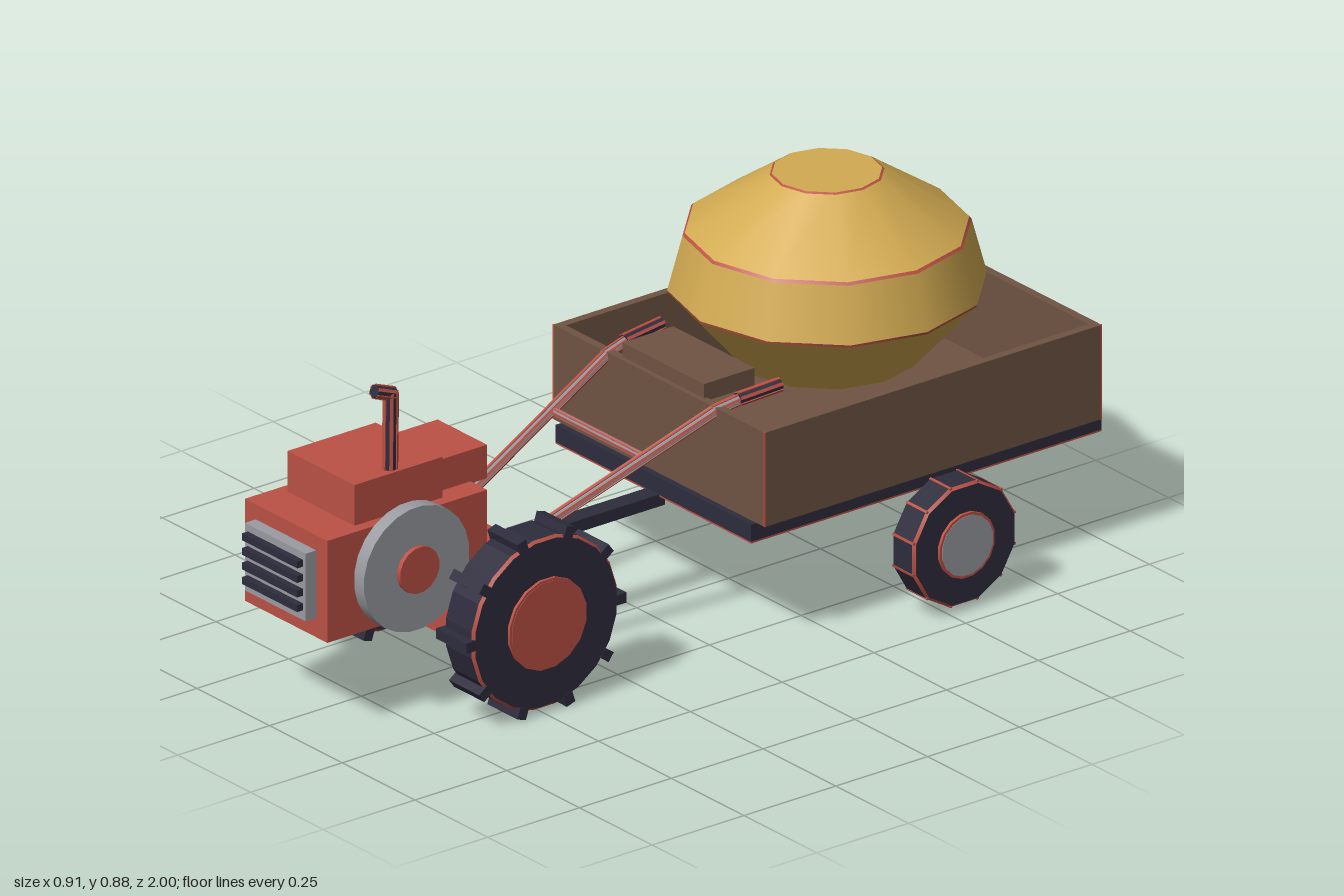
import * as THREE from 'three';

const mat = (name, color) => {
  const m = new THREE.MeshStandardMaterial({ color });
  m.name = name;
  return m;
};

export function createModel() {
  const red = mat('red paint', 0xbc5145);
  red.side = THREE.DoubleSide;
  const dark = mat('dark rubber', 0x2e2c3d);
  dark.flatShading = true;
  const grey = mat('grey metal', 0x9a9ca2);
  const brown = mat('brown wood', 0x6f5443);
  const yellow = mat('yellow sack', 0xd3ab52);

  const model = new THREE.Group();
  model.name = 'tractorAndTrailer';

  const add = (parent, name, geo, material) => {
    const mesh = new THREE.Mesh(geo, material);
    mesh.name = name;
    parent.add(mesh);
    return mesh;
  };
  // Box given by its ranges along x, y and z
  const box = (parent, name, material, x0, x1, y0, y1, z0, z1) => {
    const mesh = add(parent, name, new THREE.BoxGeometry(x1 - x0, y1 - y0, z1 - z0), material);
    mesh.position.set((x0 + x1) / 2, (y0 + y1) / 2, (z0 + z1) / 2);
    return mesh;
  };
  // Housing: a box without its bottom face
  const housing = (...args) => {
    const { geometry } = box(...args);
    const faces = [...geometry.index.array];
    faces.splice(18, 6);
    geometry.setIndex(faces);
    geometry.clearGroups();
  };
  // Six-sided bar between two points, with thin red lines along its edges
  const bar = (parent, name, material, a, b, r) => {
    const p = new THREE.Vector3(...a), q = new THREE.Vector3(...b);
    const len = p.distanceTo(q);
    const g = new THREE.Group();
    g.name = name;
    g.position.copy(p).lerp(q, 0.5);
    g.quaternion.setFromUnitVectors(new THREE.Vector3(0, 1, 0), q.sub(p).normalize());
    add(g, 'barCore', new THREE.CylinderGeometry(r, r, len, 6), material);
    for (let i = 0; i < 6; i++) {
      const edge = new THREE.BoxGeometry(r * 0.45, len, r * 0.2);
      edge.translate(0, 0, r * 0.92).rotateY((i * Math.PI) / 3);
      add(g, 'barEdge', edge, red);
    }
    parent.add(g);
  };
  // Disc with its axis along x
  const disc = (parent, name, material, r, width, sides, x = 0, rim = r) => {
    const geo = new THREE.CylinderGeometry(rim, r, width, sides).rotateZ(-Math.PI / 2);
    geo.rotateX(Math.PI / sides);
    const mesh = add(parent, name, geo, material);
    mesh.position.x = x;
  };

  // Tyre with thin red edges and a slightly raised hub on both faces
  const wheel = (name, r, width, sides, hubR, hubMat) => {
    const g = new THREE.Group();
    g.name = name;
    disc(g, 'tyre', dark, r, width - 0.012, sides);
    for (const s of [-1, 1]) {
      const h = width / 2;
      disc(g, 'tyreEdge', red, s > 0 ? r : r - 0.006, 0.006, sides, s * (h - 0.003), s > 0 ? r - 0.006 : r);
      disc(g, 'tyreSide', dark, r - 0.006, 0.002, sides, s * h);
      disc(g, 'hubRing', red, hubR, 0.014, 16, s * (h + 0.001));
      disc(g, 'hub', hubMat, hubR - 0.006, 0.016, 16, s * (h + 0.001));
    }
    return g;
  };

  // ---- Tractor: housings are open underneath ----
  const tractor = new THREE.Group();
  tractor.name = 'tractor';
  model.add(tractor);
  housing(tractor, 'engine', red, -0.142, 0.142, 0.232, 0.47, 0.52, 0.955);
  housing(tractor, 'gearbox', red, -0.12, 0.12, 0.135, 0.305, 0.4, 0.6);
  box(tractor, 'hood', red, -0.115, 0.115, 0.47, 0.565, 0.62, 0.86);
  box(tractor, 'rearTank', red, -0.085, 0.085, 0.465, 0.543, 0.475, 0.62);

  // Grille with dark slats
  box(tractor, 'grillePanel', grey, -0.104, 0.104, 0.277, 0.435, 0.955, 0.984);
  for (let i = 0; i < 4; i++) {
    const y = 0.308 + i * 0.034;
    box(tractor, 'grilleSlat', dark, -0.095, 0.095, y - 0.008, y + 0.008, 0.98, 1);
  }

  // Flywheel on the left flank
  const flywheel = new THREE.Group();
  flywheel.name = 'flywheel';
  flywheel.position.set(0.163, 0.36, 0.742);
  disc(flywheel, 'flywheelDisc', grey, 0.144, 0.034, 24);
  disc(flywheel, 'flywheelHub', red, 0.054, 0.052, 16, 0.002);
  tractor.add(flywheel);

  // Exhaust with a bent tip
  bar(tractor, 'exhaustPipe', dark, [0.092, 0.56, 0.745], [0.095, 0.745, 0.745], 0.017);
  bar(tractor, 'exhaustTip', dark, [0.095, 0.738, 0.738], [0.095, 0.758, 0.79], 0.016);

  // Axle and lugged drive wheels
  bar(tractor, 'axle', grey, [-0.22, 0.215, 0.5], [0.22, 0.215, 0.5], 0.02);
  for (const s of [-1, 1]) {
    const w = wheel(s > 0 ? 'leftDriveWheel' : 'rightDriveWheel', 0.2, 0.1, 20, 0.106, red);
    w.position.set(s * 0.265, 0.213, 0.497);
    for (let i = 0; i < 10; i++) {
      const pivot = new THREE.Group();
      pivot.name = 'lugPivot';
      pivot.rotation.x = (i * Math.PI) / 5;
      box(pivot, 'lug', dark, -0.052, 0.052, -0.012, 0.012, 0.19, 0.218);
      w.add(pivot);
    }
    tractor.add(w);
  }

  // Steering handles with grips
  for (const s of [-1, 1]) {
    bar(tractor, 'handleBar', grey, [s * 0.108, 0.3, 0.43], [s * 0.188, 0.512, -0.07], 0.013);
    bar(tractor, 'handleEnd', grey, [s * 0.187, 0.51, -0.06], [s * 0.198, 0.526, -0.14], 0.013);
    bar(tractor, 'grip', dark, [s * 0.196, 0.524, -0.12], [s * 0.204, 0.532, -0.228], 0.016);
  }
  bar(tractor, 'handleCrossBar', grey, [-0.16, 0.437, 0.105], [0.16, 0.437, 0.105], 0.009);

  // ---- Trailer ----
  const trailer = new THREE.Group();
  trailer.name = 'trailer';
  model.add(trailer);
  box(trailer, 'towBar', dark, -0.022, 0.022, 0.234, 0.262, -0.06, 0.41);
  box(trailer, 'chassis', dark, -0.336, 0.336, 0.26, 0.3, -1, -0.045);
  box(trailer, 'chassisEdge', red, -0.336, 0.336, 0.256, 0.26, -1, -0.045);
  box(trailer, 'chassisUnderside', dark, -0.331, 0.331, 0.254, 0.258, -0.995, -0.05);
  box(trailer, 'floor', brown, -0.36, 0.36, 0.299, 0.315, -0.97, -0.065);
  box(trailer, 'frontWall', brown, -0.364, 0.364, 0.3, 0.52, -0.08, -0.06);
  box(trailer, 'backWall', brown, -0.364, 0.364, 0.3, 0.52, -0.978, -0.958);
  for (const s of [-1, 1]) {
    const x = s * 0.354;
    box(trailer, 'sideWall', brown, x - 0.01, x + 0.01, 0.3, 0.52, -0.959, -0.079);
    // Thin red corner lines
    for (const z of [-0.0615, -0.9765]) {
      const c = s * 0.3625;
      box(trailer, 'cornerLine', red, c - 0.002, c + 0.002, 0.3, 0.521, z - 0.002, z + 0.002);
    }

    const w = wheel(s > 0 ? 'leftTrailerWheel' : 'rightTrailerWheel', 0.144, 0.076, 12, 0.076, grey);
    w.position.set(s * 0.409, 0.157, -0.54);
    // Thin red lines across the tread corners
    for (let i = 0; i < 12; i++) {
      const pivot = new THREE.Group();
      pivot.name = 'treadLinePivot';
      pivot.rotation.x = ((i + 0.5) * Math.PI) / 6;
      box(pivot, 'treadLine', red, -0.036, 0.036, -0.003, 0.003, 0.139, 0.1445);
      w.add(pivot);
    }
    trailer.add(w);
  }
  box(trailer, 'seat', brown, -0.14, 0.14, 0.512, 0.553, -0.21, -0.072);

  // ---- Load: round sack, one smooth band per slope, red seams between ----
  const sack = new THREE.Group();
  sack.name = 'sack';
  sack.position.z = -0.518;
  model.add(sack);
  const profile = [[0.2, 0.457], [0.343, 0.617], [0.345, 0.623], [0.312, 0.748], [0.307, 0.754], [0.124, 0.878], [0.119, 0.881]];
  for (let i = 0; i < profile.length - 1; i++) {
    const [r0, y0] = profile[i], [r1, y1] = profile[i + 1];
    const seam = i % 2 === 1;
    const band = add(sack, seam ? 'sackSeam' : 'sackBand',
      new THREE.CylinderGeometry(r1, r0, y1 - y0, 12, 1, true), seam ? red : yellow);
    band.position.y = (y0 + y1) / 2;
  }
  const top = add(sack, 'sackTop', new THREE.CircleGeometry(0.119, 12).rotateX(-Math.PI / 2), yellow);
  top.position.y = 0.881;
  const bottom = add(sack, 'sackBottom', new THREE.CircleGeometry(0.2, 12).rotateX(Math.PI / 2), yellow);
  bottom.position.y = 0.457;

  return model;
}
